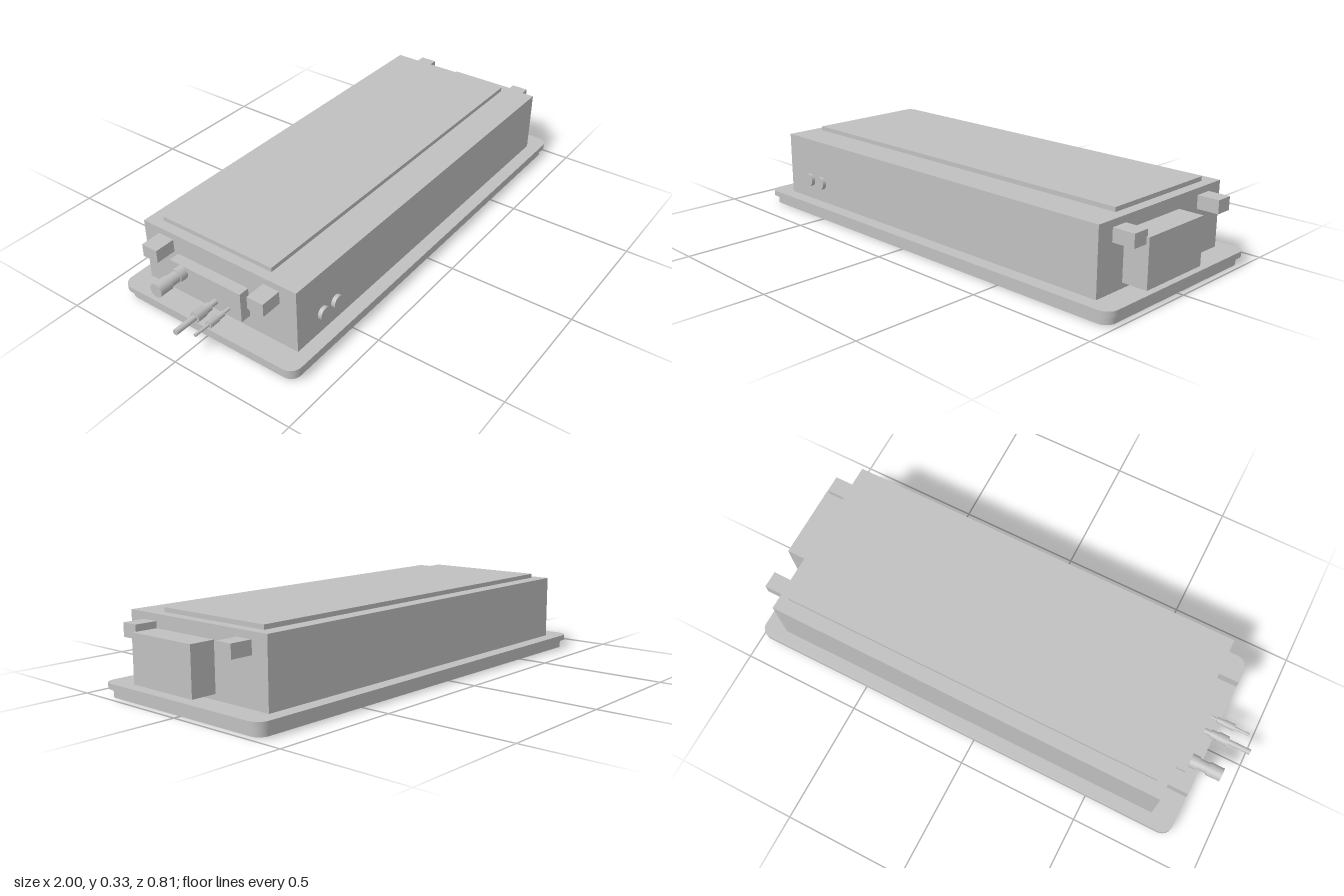
import * as THREE from 'three';

export function createModel() {
  const group = new THREE.Group();
  const grey = new THREE.MeshStandardMaterial({ color: 0xc0c0c0 });
  grey.name = 'light grey';

  function add(name, geometry, parent = group) {
    const mesh = new THREE.Mesh(geometry, grey);
    mesh.name = name;
    parent.add(mesh);
    return mesh;
  }
  // Box given by its limits on each axis
  function box(name, x0, x1, y0, y1, z0, z1, parent) {
    const g = new THREE.BoxGeometry(x1 - x0, y1 - y0, z1 - z0);
    g.translate((x0 + x1) / 2, (y0 + y1) / 2, (z0 + z1) / 2);
    return add(name, g, parent);
  }
  // Cylinder lying along x
  function rod(name, x0, x1, y, z, r, sides = 24) {
    const g = new THREE.CylinderGeometry(r, r, x1 - x0, sides);
    g.rotateZ(Math.PI / 2);
    g.translate((x0 + x1) / 2, y, z);
    return add(name, g);
  }
  // Horizontal slab with rounded corners and rectangular holes [x0, x1, z0, z1]
  function slab(name, x0, x1, z0, z1, y0, y1, r, holes = []) {
    const s = new THREE.Shape();
    s.absarc(x1 - r, z1 - r, r, 0, Math.PI / 2);
    s.absarc(x0 + r, z1 - r, r, Math.PI / 2, Math.PI);
    s.absarc(x0 + r, z0 + r, r, Math.PI, Math.PI * 1.5);
    s.absarc(x1 - r, z0 + r, r, Math.PI * 1.5, Math.PI * 2);
    for (const [a, b, c, d] of holes) {
      const h = new THREE.Path();
      h.moveTo(a, -d);
      h.lineTo(a, -c);
      h.lineTo(b, -c);
      h.lineTo(b, -d);
      h.closePath();
      s.holes.push(h);
    }
    const g = new THREE.ExtrudeGeometry(s, { depth: y1 - y0, bevelEnabled: false, curveSegments: 8 });
    g.rotateX(-Math.PI / 2);
    g.translate(0, y0, 0);
    return add(name, g);
  }

  // Ceiling panel: wide rim above, face with intake and outlet openings below
  const bays = [-0.74, -0.25, 0.06, 0.37, 0.84];
  const intake = [0.095, 0.345];
  const holes = [[-0.62, 0.66, -0.26, -0.165]];
  for (let i = 0; i < 4; i++) {
    holes.push([bays[i] + 0.006, bays[i + 1] - 0.006, ...intake]);
  }
  slab('panelRim', -0.855, 0.995, -0.403, 0.403, 0.035, 0.057, 0.045);
  slab('panelFace', -0.84, 0.98, -0.39, 0.39, 0.003, 0.035, 0.04, holes);
  box('outletFlap', -0.612, 0.652, 0.005, 0.014, -0.253, -0.172);
  box('sensorWindow', 0.79, 0.84, 0, 0.004, -0.26, -0.22);

  // Intake slats in each bay
  const grille = new THREE.Group();
  grille.name = 'intakeGrille';
  group.add(grille);
  const slats = 8;
  const pitch = (intake[1] - intake[0]) / slats;
  for (let i = 0; i < 4; i++) {
    for (let k = 1; k < slats; k++) {
      const z = intake[0] + k * pitch;
      box('slat', bays[i], bays[i + 1], 0.004, 0.034, z - 0.006, z + 0.006, grille);
    }
  }

  // Casing and lid
  box('casing', -0.76, 0.9, 0.057, 0.311, -0.348, 0.348);
  box('lid', -0.72, 0.86, 0.311, 0.328, -0.29, 0.212);

  // Boxes on both ends
  box('controlBox', 0.9, 0.998, 0.078, 0.26, -0.095, 0.213);
  box('pipeBox', -0.803, -0.76, 0.11, 0.232, -0.188, 0.138);

  // Hanging brackets
  for (const [z0, z1] of [[0.207, 0.276], [-0.276, -0.207]]) {
    box('leftBracket', 0.9, 0.986, 0.234, 0.285, z0, z1);
    box('rightBracket', -0.843, -0.76, 0.234, 0.285, z0, z1);
  }

  // Drain outlet
  rod('drainNeck', -0.875, -0.803, 0.205, -0.13, 0.022);
  rod('drainCollar', -0.835, -0.803, 0.205, -0.13, 0.027);
  rod('drainEnd', -0.932, -0.875, 0.205, -0.13, 0.027);

  // Refrigerant pipes with flare nuts
  for (const [x, z, r, nut] of [[-1, 0.02, 0.011, 0.022], [-0.972, 0.083, 0.006, 0.015]]) {
    rod('pipe', x, -0.8, 0.145, z, r);
    rod('flareNut', -0.907, -0.862, 0.145, z, nut, 6);
    rod('nutCollar', -0.862, -0.835, 0.145, z, nut * 0.75);
  }

  // Cable grommets on the front
  for (const x of [-0.623, -0.547]) {
    const g = new THREE.CylinderGeometry(0.026, 0.026, 0.016, 24);
    g.rotateX(Math.PI / 2);
    g.translate(x, 0.138, 0.356);
    add('grommet', g);
  }
  return group;
}
